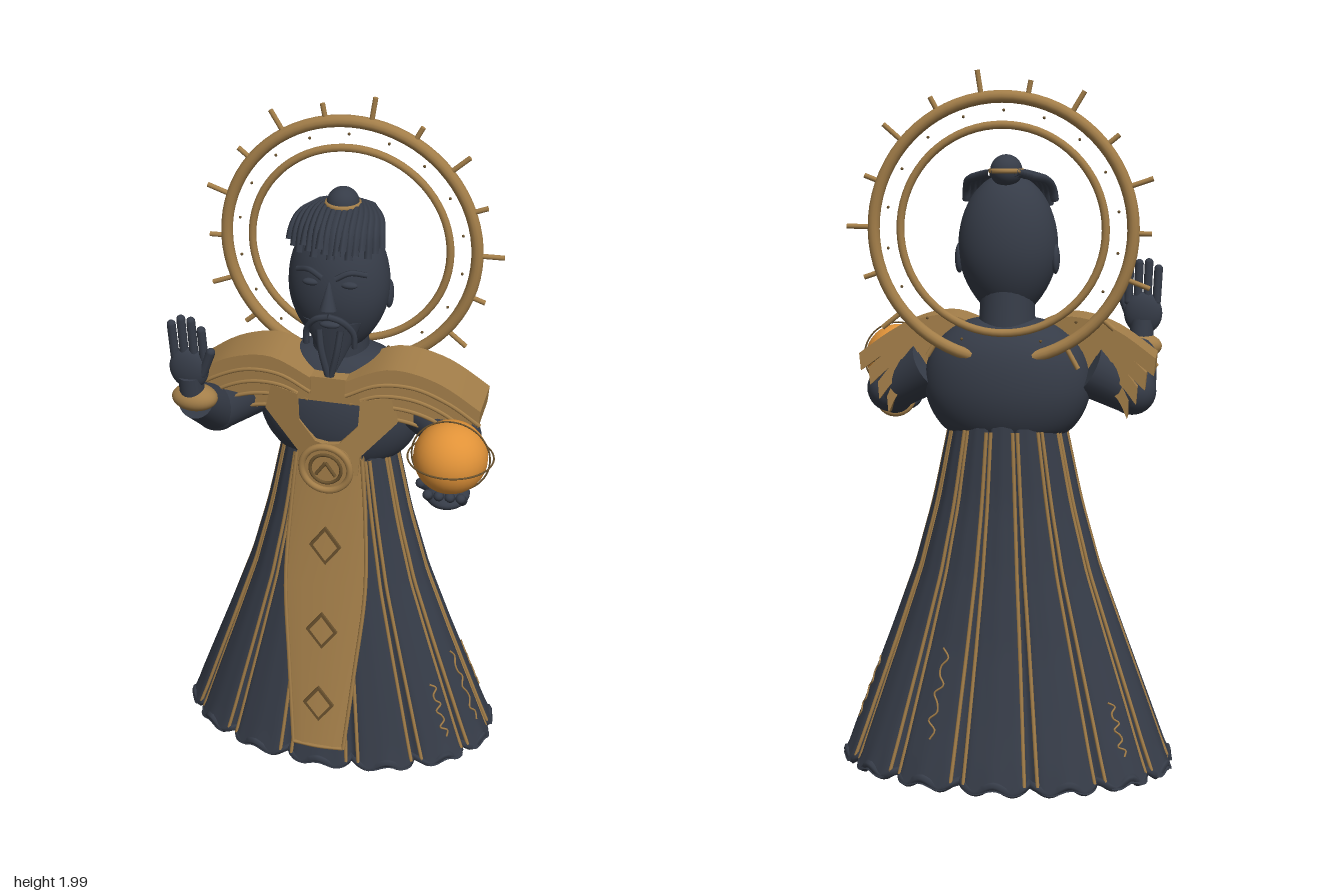
import * as THREE from 'three';
import { toCreasedNormals } from 'three/addons/utils/BufferGeometryUtils.js';

const mat = (name, color, side = THREE.FrontSide) => {
  const m = new THREE.MeshStandardMaterial({ color, side });
  m.name = name;
  return m;
};
const V = (x, y, z) => new THREE.Vector3(x, y, z);

export function createModel() {
  const root = new THREE.Group();
  root.name = 'robedFigure';
  const slate = mat('slate', 0x363c48);
  const cloth = mat('slateCloth', 0x363c48, THREE.DoubleSide);
  const gold = mat('gold', 0xa37e49);
  const goldCloth = mat('goldCloth', 0xa37e49, THREE.DoubleSide);
  const orange = mat('orange', 0xe09238);
  const bronze = mat('bronzeLine', 0x6a522e);

  const add = (name, geo, m, x = 0, y = 0, z = 0) => {
    const o = new THREE.Mesh(geo, m);
    o.name = name;
    o.position.set(x, y, z);
    root.add(o);
    return o;
  };
  const ball = (name, m, p, s) => {
    const o = add(name, new THREE.SphereGeometry(1, 32, 20), m, ...p);
    o.scale.set(...s);
    return o;
  };
  const tube = (name, pts, r, m, n = 24) =>
    add(name, new THREE.TubeGeometry(new THREE.CatmullRomCurve3(pts), n, r, 6), m);
  const between = (o, a, b) => {
    o.position.copy(a).add(b).multiplyScalar(0.5);
    o.quaternion.setFromUnitVectors(V(0, 1, 0), b.clone().sub(a).normalize());
  };
  const limb = (name, a, b, r0, r1, m) =>
    between(add(name, new THREE.CylinderGeometry(r1, r0, a.distanceTo(b), 24), m), a, b);
  const finger = (a, b, r) =>
    between(add('finger', new THREE.CapsuleGeometry(r, a.distanceTo(b), 4, 10), slate), a, b);
  // Flat outline extruded along z, swept back towards the sides
  const plate = (name, pts, depth, z, sweep, m) => {
    const g = new THREE.ExtrudeGeometry(
      new THREE.Shape(pts.map(([x, y]) => new THREE.Vector2(x, y))), { depth, bevelEnabled: false });
    const p = g.attributes.position;
    for (let i = 0; i < p.count; i++) p.setZ(i, p.getZ(i) + z - sweep * Math.abs(p.getX(i)));
    return add(name, toCreasedNormals(g, 0.6), m);
  };

  // Skirt: elliptical rings [y, half width, half depth, centre z], fourteen pleats
  const rings = [[1.03, 0.165, 0.128, -0.037], [0.8, 0.215, 0.146, -0.034], [0.6, 0.272, 0.178, -0.033],
    [0.4, 0.345, 0.215, -0.035], [0.2, 0.42, 0.258, -0.042], [0.06, 0.472, 0.29, -0.048], [0.02, 0.49, 0.299, -0.048]];
  const ringAt = (y) => {
    let i = 0;
    while (i < rings.length - 2 && y < rings[i + 1][0]) i++;
    const k = (rings[i][0] - y) / (rings[i][0] - rings[i + 1][0]);
    return rings[i].map((v, j) => THREE.MathUtils.lerp(v, rings[i + 1][j], k));
  };
  const onSkirt = (a, y, lift = 0) => {
    const [, rx, rz, cz] = ringAt(y);
    const f = 1 - 0.1 * Math.pow(1 - Math.abs(Math.cos(7 * a)), 4);
    return V(Math.sin(a) * (rx * f + lift), y, cz + Math.cos(a) * (rz * f + lift));
  };
  const SEG = 280, ROWS = 24;
  const clothRing = (name, yTop, lift, ripple) => {
    const g = new THREE.PlaneGeometry(1, 1, SEG, ROWS);
    const p = g.attributes.position;
    for (let j = 0, n = 0; j <= ROWS; j++) for (let i = 0; i <= SEG; i++, n++) {
      const a = (i / SEG) * Math.PI * 2, y = yTop + (0.02 - yTop) * (j / ROWS);
      const hem = Math.max(0, 1 - (y - 0.02) / 0.08);
      const v = onSkirt(a, y, lift + ripple * Math.cos(28 * a));
      p.setXYZ(n, v.x, y + 0.007 * hem * Math.cos(28 * a), v.z);
    }
    g.computeVertexNormals();
    add(name, g, cloth);
  };
  clothRing('skirt', 1.03, 0, 0.001);
  clothRing('underskirt', 0.4, -0.035, 0.012);

  // Ruffled hem and feet
  const hemPts = [];
  for (let i = 0; i < 168; i++) {
    const a = (i / 168) * Math.PI * 2;
    const v = onSkirt(a, 0.04, -0.006 + 0.003 * Math.cos(28 * a));
    hemPts.push(V(v.x, 0.03 + 0.012 * Math.cos(28 * a), v.z));
  }
  add('hemRuffle', new THREE.TubeGeometry(new THREE.CatmullRomCurve3(hemPts, true), 336, 0.013, 6, true), slate);
  for (const s of [-1, 1]) ball('foot', slate, [s * 0.1, 0.06, 0.04], [0.08, 0.04, 0.14]);

  // Pleat piping, two strips beside each groove
  for (let k = 0; k < 14; k++) for (const s of [-1, 1]) {
    const a = ((k + 0.5) / 14) * Math.PI * 2 + s * 0.04;
    const pts = [];
    for (let i = 0; i <= 12; i++) pts.push(onSkirt(a, 1.01 - i * 0.081, 0.002));
    tube('pleatPiping', pts, 0.0055, gold, 30);
  }
  // Thin gilded cracks
  for (const [a, y0, h] of [[1.35, 0.1, 0.25], [1.8, 0.14, 0.18], [2.7, 0.15, 0.25], [-2.25, 0.1, 0.15], [0.95, 0.1, 0.18]]) {
    const pts = [];
    for (let i = 0; i <= 10; i++) pts.push(onSkirt(a + 0.035 * Math.sin(i * 2.3), y0 + (h * i) / 10, 0.002));
    tube('goldCrack', pts, 0.003, gold, 40);
  }

  // Tabard down the front, with edge piping
  const tabW = [[1.03, 0.095], [0.85, 0.11], [0.62, 0.12], [0.35, 0.1], [0.09, 0.078]];
  const tabZ = (y) => onSkirt(0, y).z + 0.01;
  const tab = new THREE.PlaneGeometry(1, 1, 5, 4);
  const tp = tab.attributes.position;
  tabW.forEach(([y, w], j) => [-1, -1, -0.6, 0.6, 1, 1].forEach((u, i) =>
    tp.setXYZ(j * 6 + i, u * w, y, tabZ(y) - (i % 5 === 0 ? 0.05 : Math.abs(u) === 1 ? 0.008 : 0))));
  add('tabard', toCreasedNormals(tab, 0.6), goldCloth);
  for (const s of [-1, 1])
    tube('tabardEdge', tabW.map(([y, w]) => V(s * w, y, tabZ(y) - 0.006)), 0.006, gold);
  tube('tabardHem', [V(-0.078, 0.09, tabZ(0.09) - 0.006), V(0, 0.09, tabZ(0.09)), V(0.078, 0.09, tabZ(0.09) - 0.006)], 0.006, gold);

  // Upright diamond frames on the tabard
  const diamond = (w, h) => [[0, h], [w, 0], [0, -h], [-w, 0]].map(([x, y]) => new THREE.Vector2(x, y));
  for (const y of [0.755, 0.485, 0.245]) {
    const sh = new THREE.Shape(diamond(0.047, 0.065));
    sh.holes.push(new THREE.Path(diamond(0.036, 0.051)));
    add('diamondFrame', new THREE.ExtrudeGeometry(sh, { depth: 0.008, bevelEnabled: false }), bronze, 0, y, tabZ(y - 0.06));
  }

  // Bodice, neck and chest straps
  const body = [[0.15, 0.98], [0.19, 1.01], [0.222, 1.06], [0.237, 1.12], [0.23, 1.19], [0.2, 1.25], [0.14, 1.3], [0.07, 1.32], [0, 1.32]];
  const bodice = add('bodice', new THREE.LatheGeometry(
    new THREE.SplineCurve(body.map(([x, y]) => new THREE.Vector2(x, y))).getPoints(28), 48), slate, 0, 0, -0.04);
  bodice.scale.z = 0.62;
  limb('neck', V(0, 1.22, -0.05), V(0, 1.4, -0.04), 0.085, 0.075, slate);
  for (const s of [-1, 1])
    plate('chestStrap', [[0, 0.98], [0.085, 0.98], [0.09, 1.04], [0.19, 1.15], [0.17, 1.23], [0.09, 1.22], [0.085, 1.14], [0.035, 1.085], [0, 1.08]]
      .map(([x, y]) => [s * x, y]), 0.04, 0.085, 0.25, gold);
  plate('collar', [[-0.09, 1.205], [0.09, 1.205], [0.08, 1.28], [-0.08, 1.28]], 0.14, -0.03, 0.1, gold);

  // Medallion
  const disc = add('medallion', new THREE.CylinderGeometry(0.07, 0.07, 0.03, 40), gold, 0, 1.01, 0.12);
  disc.rotation.x = Math.PI / 2;
  add('medallionRim', new THREE.TorusGeometry(0.07, 0.01, 10, 40), gold, 0, 1.01, 0.135);
  add('medallionRing', new THREE.TorusGeometry(0.045, 0.005, 8, 32), bronze, 0, 1.01, 0.137);
  for (const s of [-1, 1])
    limb('medallionChevron', V(s * 0.028, 0.99, 0.137), V(0, 1.03, 0.137), 0.005, 0.005, bronze);

  // Layered shoulder mantle: overlapping arched bands stepping down and back
  for (const s of [-1, 1]) for (let i = 0; i < 4; i++) {
    const top = new THREE.SplineCurve([[0.05 + 0.01 * i, 1.28 - 0.03 * i], [0.17, 1.325 - 0.042 * i],
      [0.3, 1.295 - 0.045 * i], [0.42 - 0.025 * i, 1.215 - 0.042 * i]]
      .map(([x, y]) => new THREE.Vector2(x * s, y))).getPoints(16);
    const th = 0.05;
    const outline = [...top.map((p) => [p.x, p.y]), ...top.slice().reverse().map((p) => [p.x * 0.99, p.y - th])];
    plate('mantleLayer' + (i + 1), outline, 0.155 - 0.016 * i, -0.04 + 0.004 * i, 0.1, gold);
    tube('mantleEdge', top.filter((_, k) => k % 4 === 0).map((p) => V(p.x, p.y - th + 0.006, 0.115 - 0.012 * i - 0.1 * Math.abs(p.x))), 0.006, gold);
  }

  // Head, narrowed towards the chin
  const skull = new THREE.SphereGeometry(1, 40, 30);
  const hp = skull.attributes.position;
  for (let i = 0; i < hp.count; i++) {
    const y = hp.getY(i), k = y < 0 ? 1 - 0.2 * y * y : 1;
    hp.setXYZ(i, hp.getX(i) * 0.141 * k, 1.515 + y * 0.205, hp.getZ(i) * 0.118 * k - 0.025);
  }
  skull.computeVertexNormals();
  add('head', skull, slate);
  const nose = add('nose', new THREE.ConeGeometry(0.024, 0.09, 12), slate, 0, 1.53, 0.093);
  nose.rotation.x = -0.2;
  const beard = add('beard', new THREE.ConeGeometry(0.085, 0.18, 20), slate, 0, 1.345, 0.055);
  beard.rotation.x = Math.PI - 0.12;
  beard.scale.z = 0.5;
  ball('lip', slate, [0, 1.435, 0.085], [0.028, 0.01, 0.012]);
  for (const s of [-1, 1]) {
    ball('ear', slate, [s * 0.136, 1.485, -0.045], [0.012, 0.042, 0.022]);
    ball('eye', slate, [s * 0.052, 1.555, 0.08], [0.024, 0.01, 0.012]);
    tube('brow', [V(s * 0.018, 1.575, 0.094), V(s * 0.055, 1.592, 0.084), V(s * 0.095, 1.58, 0.06)], 0.008, slate, 10);
    tube('moustache', [V(0, 1.465, 0.1), V(s * 0.035, 1.455, 0.098), V(s * 0.065, 1.415, 0.082), V(s * 0.068, 1.37, 0.078)], 0.009, slate, 12);
    tube('beardStrand', [V(s * 0.03, 1.42, 0.085), V(s * 0.022, 1.36, 0.092), V(0, 1.265, 0.088)], 0.01, slate, 12);
  }

  // Swept hair strands fanning forward to a ragged fringe, topknot and ring
  for (let i = -8; i <= 8; i++) {
    const u = i / 8, q = u * u;
    tube('hairStrand', [V(u * 0.07, 1.725 - 0.01 * q, -0.1), V(u * 0.11, 1.722 - 0.02 * q, -0.035),
      V(u * 0.122, 1.685 - 0.01 * q, 0.04 - 0.035 * q), V(u * 0.126, 1.62 + 0.012 * (Math.abs(i) % 3), 0.075 - 0.055 * q)], 0.012, slate, 12);
  }
  ball('topknot', slate, [0, 1.728, -0.065], [0.045, 0.045, 0.045]);
  const band = add('topknotRing', new THREE.TorusGeometry(0.044, 0.007, 8, 32), gold, 0, 1.728, -0.065);
  band.rotation.x = Math.PI / 2;

  // Halo: two rings, studs, and spikes alternating long and short
  const HY = 1.57, HZ = -0.147;
  add('haloOuterRing', new THREE.TorusGeometry(0.358, 0.017, 12, 72), gold, 0, HY, HZ);
  add('haloInnerRing', new THREE.TorusGeometry(0.283, 0.011, 10, 72), gold, 0, HY, HZ);
  for (let k = 0; k < 18; k++) {
    const a = ((k * 20 + 1) * Math.PI) / 180;
    const at = (r, b = a) => V(r * Math.cos(b), HY + r * Math.sin(b), HZ);
    limb('haloSpike', at(0.365), at(k % 2 ? 0.408 : 0.433), 0.007, 0.007, gold);
    ball('haloStud', bronze, at(0.322, a + 0.17).toArray(), [0.004, 0.004, 0.004]);
  }

  // Sleeves
  const sleeve = (sh, el, wr) => {
    limb('upperArm', sh, el, 0.08, 0.068, slate);
    ball('elbow', slate, el.toArray(), [0.069, 0.069, 0.069]);
    limb('forearm', el, wr, 0.068, 0.052, slate);
  };
  // Right arm: raised open hand
  sleeve(V(-0.22, 1.18, -0.03), V(-0.35, 1.105, 0.03), V(-0.362, 1.2, 0.17));
  ball('cuff', gold, [-0.362, 1.215, 0.178], [0.065, 0.038, 0.047]);
  limb('wrist', V(-0.365, 1.2, 0.18), V(-0.368, 1.29, 0.19), 0.036, 0.034, slate);
  ball('palm', slate, [-0.37, 1.31, 0.19], [0.056, 0.062, 0.026]);
  [0.09, 0.108, 0.105, 0.08].forEach((h, i) => {
    const x = -0.413 + i * 0.028;
    finger(V(x * 0.99, 1.345, 0.19), V(x, 1.35 + h, 0.195), 0.0125);
  });
  finger(V(-0.33, 1.3, 0.195), V(-0.303, 1.37, 0.2), 0.013);

  // Left arm: upturned hand holding the orb
  sleeve(V(0.22, 1.18, -0.03), V(0.35, 1.1, 0.02), V(0.36, 1.055, 0.14));
  const cuff = add('cuff', new THREE.TorusGeometry(0.05, 0.012, 10, 28), gold, 0.36, 1.055, 0.14);
  cuff.rotation.x = 0.35;
  ball('palm', slate, [0.362, 1.03, 0.21], [0.06, 0.028, 0.075]);
  for (let i = 0; i < 4; i++) {
    const x = 0.318 + i * 0.03;
    finger(V(x, 1.03, 0.24), V(x, 1.058, 0.275), 0.014);
  }
  finger(V(0.31, 1.035, 0.2), V(0.292, 1.07, 0.24), 0.014);
  ball('orb', orange, [0.37, 1.16, 0.235], [0.1, 0.1, 0.1]);
  add('orbRingUpright', new THREE.TorusGeometry(0.106, 0.0025, 6, 64), bronze, 0.37, 1.16, 0.235);
  const eq = add('orbRingLevel', new THREE.TorusGeometry(0.115, 0.0025, 6, 64), bronze, 0.37, 1.16, 0.235);
  eq.rotation.x = Math.PI / 2;
  return root;
}
